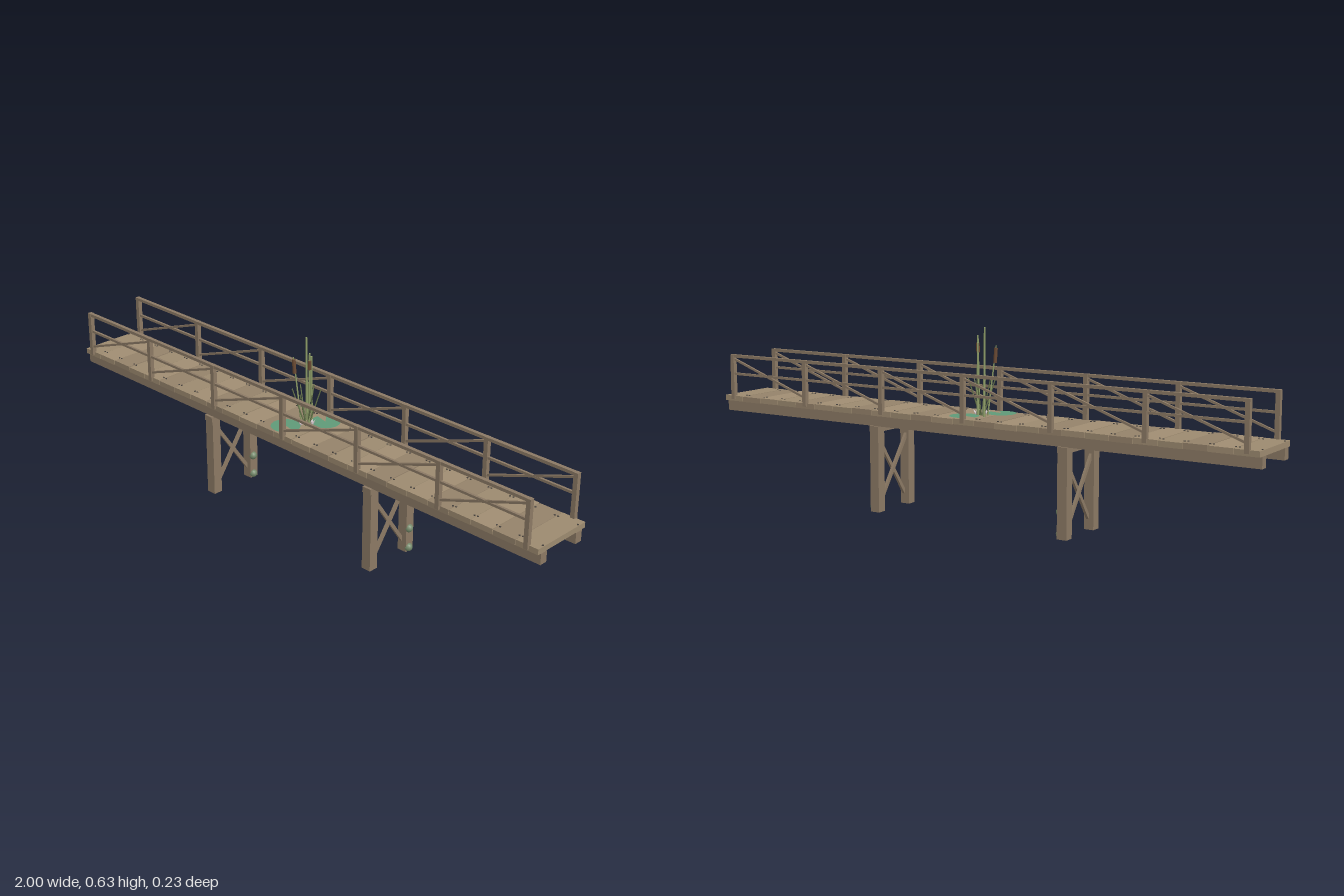
import * as THREE from 'three';

const mat = (color, extra = {}) => new THREE.MeshStandardMaterial({ color, ...extra });
const V = (x, y, z) => new THREE.Vector3(x, y, z);

export function createModel() {
  const model = new THREE.Group();
  model.name = 'footbridge';
  const wood = mat(0x8b7964);
  const plankWoods = [0x9c8a6f, 0x94826a, 0xa08d72].map((c) => mat(c));
  const iron = mat(0x4a4540);
  const moss = mat(0x74896a);
  const stalkGreen = mat(0x8f9f68);
  const leafGreen = mat(0x66754a);
  const headBrown = mat(0x6b4a33);
  const padGreen = mat(0x5f9a78, { side: THREE.DoubleSide });
  const petalPale = mat(0xd8ccd0);

  const add = (name, geometry, material, x = 0, y = 0, z = 0, parent = model) => {
    const mesh = new THREE.Mesh(geometry, material);
    mesh.name = name;
    mesh.position.set(x, y, z);
    parent.add(mesh);
    return mesh;
  };
  const box = (name, w, h, d, x, y, z, material = wood) =>
    add(name, new THREE.BoxGeometry(w, h, d), material, x, y, z);
  // Places a geometry built along +y between two points
  const between = (name, geometry, material, a, b) => {
    const mesh = add(name, geometry, material);
    mesh.position.copy(a).add(b).multiplyScalar(0.5);
    mesh.quaternion.setFromUnitVectors(V(0, 1, 0), b.clone().sub(a).normalize());
    return mesh;
  };
  const rod = (name, a, b, r0, r1, material, sides = 8) =>
    between(name, new THREE.CylinderGeometry(r1, r0, a.distanceTo(b), sides), material, a, b);
  const brace = (name, a, b, w, d) =>
    between(name, new THREE.BoxGeometry(w, a.distanceTo(b), d), wood, a, b);

  // Deck planks with nails near the ends of each seam
  const count = 25, pitch = 2 / count;
  for (let i = 0; i < count; i++) {
    const x = -1 + pitch * (i + 0.5);
    const lift = ((i * 7) % 5) * 0.0004;
    box('deckPlank', pitch - 0.002, 0.018, 0.217, x, 0.3345 + lift, -0.001, plankWoods[(i * 2) % 3]);
    for (const sx of [-1, 1]) for (const sz of [-1, 1])
      add('nail', new THREE.CylinderGeometry(0.003, 0.003, 0.003, 6), iron,
        x + sx * (pitch / 2 - 0.006), 0.344 + lift, sz * 0.081);
  }

  // Main beams, rails and rail posts on both sides
  for (const s of [-1, 1]) {
    box('mainBeam', 2, 0.036, 0.027, 0, 0.308, s * 0.081);
    const z = s * 0.1075;
    box('topRail', 1.935, 0.01, 0.013, 0, 0.484, z);
    box('midRail', 1.92, 0.008, 0.008, 0, 0.422, z);
    for (let i = 0; i < 7; i++) {
      const x = -0.96 + i * 0.32;
      box('railPost', 0.015, 0.156, 0.015, x, 0.411, z);
      if (i < 6)
        brace('railBrace', V(x, 0.362, z), V(x + 0.32, 0.475, z), 0.007, 0.007);
    }
  }

  // Piers: two legs, cap beam, crossed bracing and moss clumps
  for (const x of [-0.357, 0.357]) {
    for (const s of [-1, 1]) {
      box('pierLeg', 0.034, 0.287, 0.033, x, 0.1465, s * 0.0835);
      brace('pierBrace', V(x + s * 0.004, 0.04, s * 0.071), V(x + s * 0.004, 0.243, -s * 0.071), 0.009, 0.012);
    }
    box('pierCap', 0.034, 0.019, 0.205, x, 0.281, 0.001);
    for (const y of [0.085, 0.0165])
      add('mossClump', new THREE.SphereGeometry(0.014, 12, 8), moss, x + 0.016, y, -0.08);
  }

  // Notched lily pads on the deck
  for (const [x, z, turn] of [[0.03, -0.055, 2.6], [-0.04, 0.055, -0.5]]) {
    const pad = add('lilyPad', new THREE.CircleGeometry(0.048, 24, 0.3, Math.PI * 2 - 0.6),
      padGreen, x, 0.3475, z);
    pad.rotation.set(-Math.PI / 2, 0, turn);
  }

  // Reed stalks, two of them carrying brown seed heads
  const base = 0.344;
  rod('reedStalk', V(-0.027, base, -0.028), V(-0.029, 0.63, -0.027), 0.004, 0.003, stalkGreen);
  rod('reedStalk', V(0.012, base, 0.003), V(0.02, 0.6, 0.007), 0.004, 0.003, stalkGreen);
  rod('reedStalk', V(0.002, base, -0.02), V(0.004, 0.578, -0.017), 0.004, 0.003, stalkGreen);
  rod('reedStalk', V(-0.02, base, 0.004), V(-0.046, 0.57, 0.013), 0.003, 0.002, stalkGreen);
  rod('seedHead', V(0.018, 0.545, 0.006), V(0.019, 0.575, 0.006), 0.006, 0.006, headBrown, 10);
  rod('seedHead', V(-0.043, 0.515, 0.011), V(-0.046, 0.562, 0.012), 0.006, 0.006, headBrown, 10);

  // Thin leaves fanning from the clump
  for (const [x, z] of [[0.042, 0.017], [0.015, 0.045], [-0.035, 0.03], [-0.042, -0.013], [-0.012, -0.045], [0.033, -0.03]])
    rod('reedLeaf', V(x * 0.12, base, z * 0.12), V(x, 0.469, z), 0.0025, 0.002, leafGreen, 5);

  // Small pale flowers at the foot of the reeds
  for (const [x, z] of [[-0.01, 0.015], [0.012, -0.013]]) {
    const flower = new THREE.Group();
    flower.name = 'flower';
    flower.position.set(x, 0.35, z);
    flower.rotation.x = z * 20;
    for (let i = 0; i < 5; i++) {
      const a = (i / 5) * Math.PI * 2;
      const petal = add('petal', new THREE.ConeGeometry(0.004, 0.018, 6), petalPale,
        Math.cos(a) * 0.005, 0.007, Math.sin(a) * 0.005, flower);
      petal.rotation.set(Math.sin(a) * 0.5, 0, -Math.cos(a) * 0.5);
    }
    model.add(flower);
  }
  return model;
}
